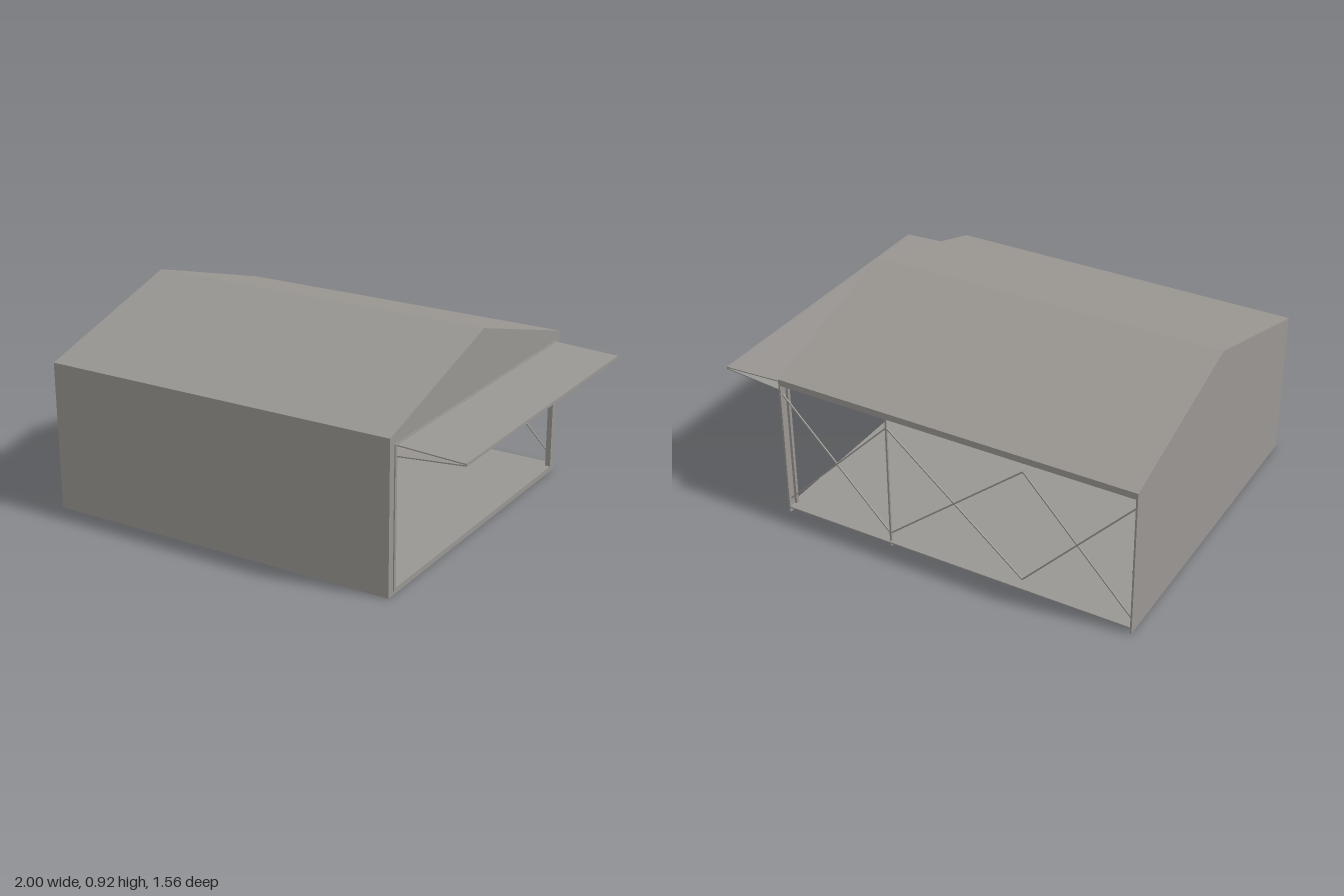
import * as THREE from 'three';

const XB = -1, XD = 0.69, HZ = 0.78, EAVE = 0.69, RIDGE = 0.92, T = 0.008;

export function createModel() {
  const group = new THREE.Group();
  const grey = new THREE.MeshStandardMaterial({ color: 0x999692 });
  grey.name = 'warm grey';

  const add = (name, geometry) => {
    const m = new THREE.Mesh(geometry, grey);
    m.name = name;
    group.add(m);
    return m;
  };
  // box given by its minimum and maximum corners
  const box = (name, x0, x1, y0, y1, z0, z1) =>
    add(name, new THREE.BoxGeometry(x1 - x0, y1 - y0, z1 - z0)
      .translate((x0 + x1) / 2, (y0 + y1) / 2, (z0 + z1) / 2));
  // square bar between two points
  const bar = (name, a, b, w) => {
    const p = new THREE.Vector3(...a), q = new THREE.Vector3(...b);
    const m = add(name, new THREE.BoxGeometry(w, w, p.distanceTo(q)));
    m.position.copy(p).add(q).multiplyScalar(0.5);
    m.lookAt(q);
    return m;
  };
  // shape drawn in (z, y), extruded along -x from xMax
  const profile = (name, points, xMax, depth, hole) => {
    const toPath = (P, pts) => new P(pts.map(([z, y]) => new THREE.Vector2(z, y)));
    const shape = toPath(THREE.Shape, points);
    if (hole) shape.holes.push(toPath(THREE.Path, hole));
    const g = new THREE.ExtrudeGeometry(shape, { depth, bevelEnabled: false });
    return add(name, g.rotateY(-Math.PI / 2).translate(xMax, 0, 0));
  };

  // shell: floor, long wall, two gables and the pitched roof; one long side is open
  const gable = [[-HZ, 0], [HZ, 0], [HZ, EAVE], [0, RIDGE], [-HZ, EAVE]];
  const opening = [[-0.735, 0.03], [0.735, 0.03], [0.735, 0.655], [-0.735, 0.655]];
  box('floor', XB + T, XD - T, 0.024, 0.03, -HZ, HZ - T);
  box('longWall', XB + T, XD - T, 0, EAVE - 0.004, HZ - T, HZ);
  profile('rearGable', gable, XB + T, T);
  profile('doorGable', gable, XD, T, opening);
  profile('roof', [[HZ, EAVE - 0.012], [HZ, EAVE], [0, RIDGE], [-HZ, EAVE],
    [-HZ, EAVE - 0.012], [0, RIDGE - 0.012]], XD - T, XD - XB - 2 * T);
  box('openSideBeam', XB + T, XD - T, EAVE - 0.03, EAVE - 0.004, -HZ, -HZ + 0.012);

  // door frame
  const frame = [[-0.745, 0.018], [0.745, 0.018], [0.745, 0.655], [-0.745, 0.655]];
  const inner = [[-0.73, 0.03], [0.73, 0.03], [0.73, 0.645], [-0.73, 0.645]];
  profile('doorFrame', frame, XD + 0.005, 0.025, inner);

  // folded door: two leaves meeting at the outer hinge
  const leaf = (name, y0, y1) => {
    const w = 0.31, h = y1 - y0;
    const m = add(name, new THREE.BoxGeometry(Math.hypot(w, h), 0.005, 1.47));
    m.position.set(XD + w / 2, (y0 + y1) / 2, 0);
    m.rotation.z = Math.atan2(h, w);
  };
  leaf('upperDoorLeaf', 0.648, 0.634);
  leaf('lowerDoorLeaf', 0.601, 0.628);
  box('doorHinge', 0.99, 1, 0.625, 0.638, -0.735, 0.735);

  // frame on the inside of the rear gable
  for (const z of [-0.42, 0, 0.43])
    box('rearPost', XB + T, XB + 0.02, 0, RIDGE - 0.02 - Math.abs(z) * 0.295, z - 0.007, z + 0.007);
  box('rearRail', XB + T, XB + 0.02, 0.286, 0.296, -HZ + 0.02, HZ - 0.02);
  box('rearUpperRail', XB + T, XB + 0.02, 0.575, 0.585, -0.42, 0.43);

  // posts and crossed braces along both long sides
  const bays = [0.68, 0.157, -0.49, -0.99];
  for (const side of [-1, 1]) {
    const z = side * (HZ - 0.013);
    for (let i = 0; i < 3; i++) {
      bar('brace', [bays[i], 0.61, z], [bays[i + 1], 0.07, z], 0.006);
      bar('brace', [bays[i], 0.07, z], [bays[i + 1], 0.61, z], 0.006);
    }
    bar('sidePost', [bays[1], 0, z], [bays[1], EAVE - 0.015, z], 0.008);
    bar('rafter', [bays[1], EAVE - 0.015, z], [bays[1], RIDGE - 0.017, 0], 0.008);
  }

  // small hangers below the ridge
  for (const x of [bays[1], bays[2]]) {
    for (const s of [-0.07, 0.07])
      bar('hangerRod', [x + s, 0.74, 0], [x + s, RIDGE - 0.012, 0], 0.006);
    box('hangerTray', x - 0.075, x + 0.075, 0.735, 0.743, -0.015, 0.015);
  }

  return group;
}
